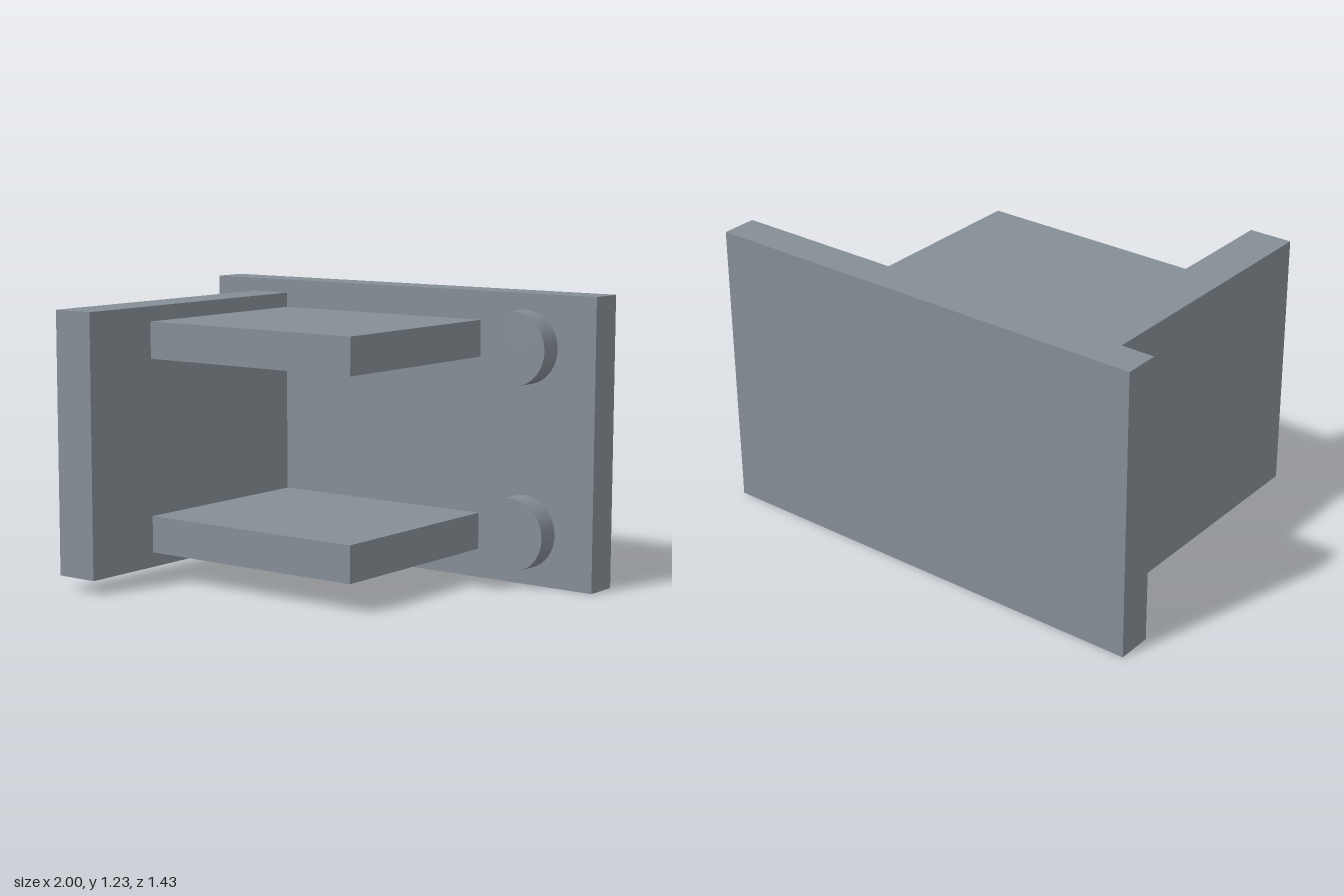
import * as THREE from 'three';

export function createModel() {
  const model = new THREE.Group();
  model.name = 'wallBracket';
  const slateGrey = new THREE.MeshStandardMaterial({ color: 0x858d96 });
  slateGrey.name = 'slateGrey';

  const add = (name, geometry, x, y, z) => {
    const mesh = new THREE.Mesh(geometry, slateGrey);
    mesh.name = name;
    mesh.position.set(x, y, z);
    model.add(mesh);
  };
  // Box given by its lower and upper corners
  const block = (name, [x0, y0, z0], [x1, y1, z1]) =>
    add(name, new THREE.BoxGeometry(x1 - x0, y1 - y0, z1 - z0),
      (x0 + x1) / 2, (y0 + y1) / 2, (z0 + z1) / 2);

  const plateFront = -0.562;

  // Upright plate at the back and the wall standing out from it
  block('backPlate', [-1, 0, -0.715], [1, 1.226, plateFront]);
  block('sideWall', [-0.79, 0.06, plateFront], [-0.602, 1.167, 0.715]);

  // Lower and upper shelf, each with a round boss beside it
  const bossDepth = 0.102;
  const bossGeometry = new THREE.CylinderGeometry(0.155, 0.155, bossDepth, 64).rotateX(Math.PI / 2);
  [['lower', 0.123, 0.224], ['upper', 0.947, 1.002]].forEach(([level, shelfY, bossY]) => {
    block(level + 'Shelf', [-0.602, shelfY, plateFront], [0.44, shelfY + 0.156, 0.35]);
    add(level + 'Boss', bossGeometry, 0.664, bossY, plateFront + bossDepth / 2);
  });

  return model;
}
